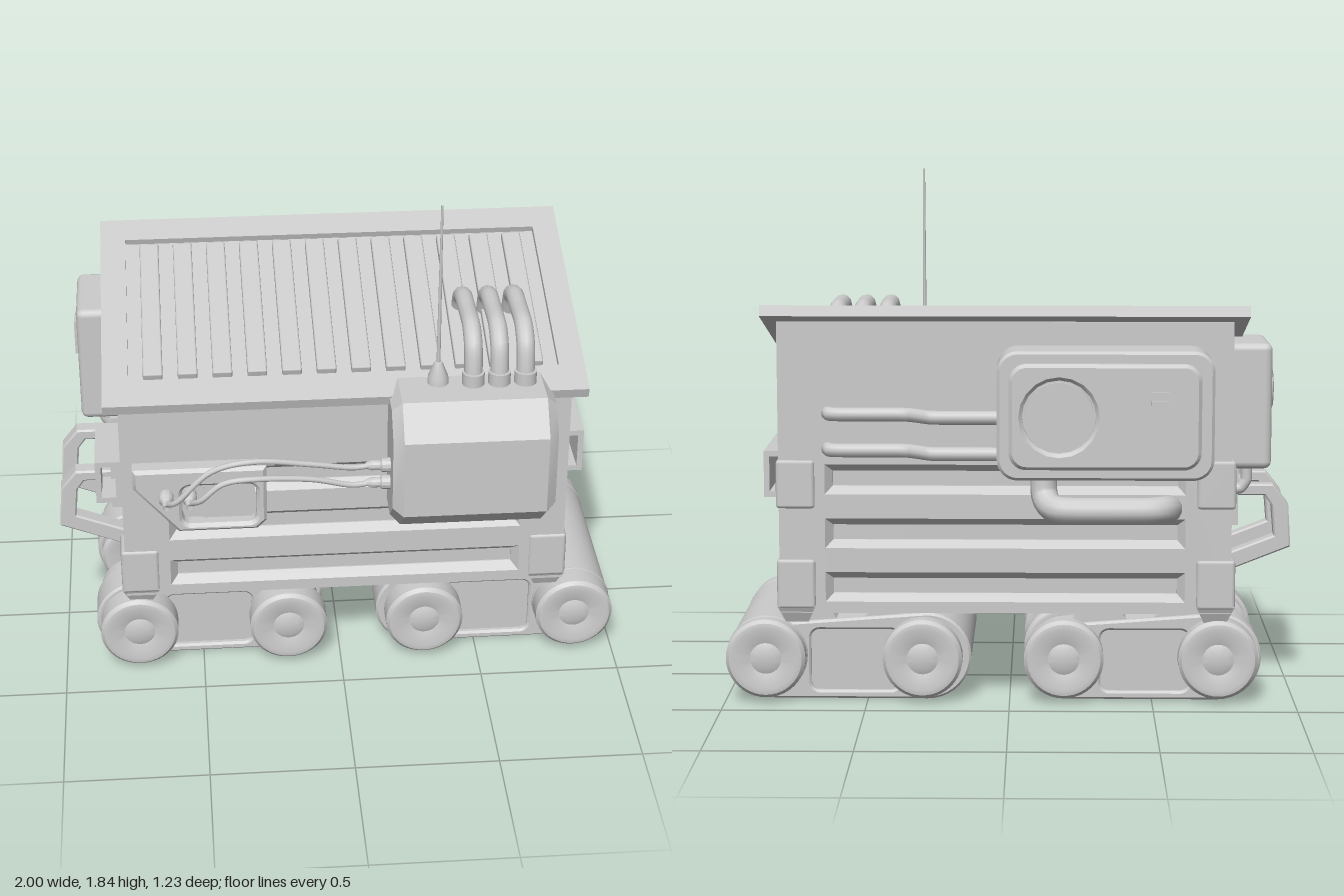
import * as THREE from 'three';
import { toCreasedNormals } from 'three/addons/utils/BufferGeometryUtils.js';
import { RoundedBoxGeometry } from 'three/addons/geometries/RoundedBoxGeometry.js';

const mat = new THREE.MeshStandardMaterial({ color: 0xcccccc, side: THREE.DoubleSide });
const V = (p) => new THREE.Vector3(...p);

function add(parent, name, geo, x = 0, y = 0, z = 0) {
  const m = new THREE.Mesh(geo, mat);
  m.name = name;
  m.position.set(x, y, z);
  parent.add(m);
  return m;
}
const crease = (g, a = 0.5) => toCreasedNormals(g, a);
const shapeOf = (pts) => new THREE.Shape(pts.map((p) => new THREE.Vector2(...p)));
const rect = (x0, x1, y0, y1) => [[x0, y0], [x1, y0], [x1, y1], [x0, y1]];

function roundRect(x0, x1, y0, y1, r) {
  const s = new THREE.Shape();
  s.absarc(x1 - r, y0 + r, r, -Math.PI / 2, 0);
  s.absarc(x1 - r, y1 - r, r, 0, Math.PI / 2);
  s.absarc(x0 + r, y1 - r, r, Math.PI / 2, Math.PI);
  s.absarc(x0 + r, y0 + r, r, Math.PI, Math.PI * 1.5);
  return s;
}
// Extrusion from z0 to z1, bevel staying inside the outline
function slab(shape, z0, z1, bevel = 0, holes = []) {
  shape.holes = holes;
  const g = new THREE.ExtrudeGeometry(shape, {
    depth: z1 - z0 - 2 * bevel, bevelEnabled: bevel > 0, bevelThickness: bevel,
    bevelSize: bevel, bevelOffset: -bevel, bevelSegments: 1, curveSegments: 10,
  });
  return crease(g.translate(0, 0, z0 + bevel));
}
// Profile of [z, y] points swept along x
const sweepX = (pts, x0, x1, bevel = 0, holes = []) =>
  slab(shapeOf(pts.map(([z, y]) => [-z, y])), x0, x1, bevel, holes).rotateY(Math.PI / 2);

function pipe(parent, name, pts, r, tension = 0.15) {
  const c = new THREE.CatmullRomCurve3(pts.map(V), false, 'catmullrom', tension);
  return add(parent, name, new THREE.TubeGeometry(c, 40, r, 12));
}
function lathe(pts, seg = 32) {
  return crease(new THREE.LatheGeometry(pts.map((p) => new THREE.Vector2(...p)), seg));
}
// Wheel or roller along z with a dished hub at each end
function wheel(parent, name, x, z0, z1, r = 0.14) {
  const h = (z1 - z0) / 2;
  const end = [[0, 0.008], [0.035, 0.008], [0.055, 0.016], [r - 0.03, 0], [r - 0.012, 0.003], [r, 0.016]];
  const pts = [...end.map(([a, b]) => [a, -h + b]), ...end.reverse().map(([a, b]) => [a, h - b])];
  add(parent, name, lathe(pts, 40).rotateX(Math.PI / 2), x, 0.163, (z0 + z1) / 2);
}

// Wall plate with three sloped grooves; outer edges stay square
function groovedPlate(top, sign) {
  const s = shapeOf(rect(-0.77, 0.8, 0.33, top));
  s.holes = [0.37, 0.56, 0.75].map((y) => shapeOf(rect(-0.61, 0.64, y, y + 0.105)));
  const g = new THREE.ExtrudeGeometry(s, { depth: 0.01, bevelThickness: 0.03, bevelSize: 0.026, bevelSegments: 1 });
  const p = g.attributes.position;
  for (let i = 0; i < p.count; i++) {
    p.setX(i, THREE.MathUtils.clamp(p.getX(i), -0.77, 0.8));
    p.setY(i, THREE.MathUtils.clamp(p.getY(i), 0.33, top));
  }
  return crease(g.translate(0, 0, sign > 0 ? 0.335 : -0.375), 0.3);
}

// Track pod: hull with window, inner plate, bracket
function pod(parent, x0, x1, z0, z1) {
  const s = new THREE.Shape();
  s.absarc(x0, 0.16, 0.155, Math.PI * 0.45, Math.PI * 1.5);
  s.lineTo(x1, 0.006);
  s.lineTo(x1 + 0.06, 0.03);
  s.absarc(x1, 0.16, 0.115, -0.6, Math.PI / 2);
  const hull = slab(s, z0, z1, 0.008, [roundRect(x0 + 0.1, x1 - 0.13, 0.035, 0.255, 0.03)]);
  add(parent, 'trackHull', hull);
  add(parent, 'trackPlate', slab(shapeOf(rect(x0 + 0.08, x1 - 0.1, 0.03, 0.265)), z0 + 0.02, z1 - 0.02));
  const m = (x0 + x1) / 2;
  const bracket = shapeOf([[x0 + 0.05, 0.27], [x1 - 0.02, 0.26], [x1 - 0.1, 0.35], [x0 + 0.14, 0.35]]);
  const gap = shapeOf([[m - 0.1, 0.335], [m - 0.03, 0.285], [m + 0.05, 0.29], [m + 0.08, 0.335]]);
  add(parent, 'trackBracket', slab(bracket, z0 + 0.02, z1 - 0.02, 0, [gap]));
}

function corner(parent, x, z, y0, y1, foot) {
  add(parent, 'cornerGuard', new RoundedBoxGeometry(0.135, y1 - y0, 0.135, 1, 0.012), x, (y0 + y1) / 2, z);
  if (!foot) return;
  const g = new THREE.BoxGeometry(0.133, 0.06, 0.133).toNonIndexed();
  const p = g.attributes.position;
  for (let i = 0; i < p.count; i++) if (p.getY(i) < 0) p.setXYZ(i, p.getX(i) * 0.6, -0.03, p.getZ(i) * 0.6);
  g.computeVertexNormals();
  add(parent, 'cornerFoot', g, x, y0 - 0.02, z);
}

export function createModel() {
  const root = new THREE.Group();
  const group = (name) => { const g = new THREE.Group(); g.name = name; root.add(g); return g; };

  // Body
  const body = group('body');
  add(body, 'core', sweepX([[0.34, 0.33], [0.34, 1.13], [-0.37, 1.345], [-0.37, 0.33]].reverse(), -0.77, 0.8));
  add(body, 'frontWall', groovedPlate(1.125, 1));
  add(body, 'backWall', groovedPlate(1.35, -1));
  for (const x of [-0.717, 0.742]) {
    corner(body, x, 0.315, 0.345, 0.52, true);
    corner(body, x, -0.348, 0.345, 0.52, true);
    corner(body, x, -0.348, 0.7, 0.87, false);
  }

  // Sloped roof with slats in a recess
  const roof = group('roof');
  roof.position.set(0.015, 1.279, -0.018);
  roof.rotation.x = 0.291;
  const W = 0.835, L = 0.467;
  const hole = shapeOf(rect(-0.745, 0.745, -0.36, 0.345));
  add(roof, 'roofFrame', slab(shapeOf(rect(-W, W, -L, L)), 0, 0.038, 0, [hole]).rotateX(Math.PI / 2));
  add(roof, 'roofBase', new THREE.BoxGeometry(1.55, 0.015, 0.76), 0, -0.03, 0);
  for (let i = 0; i < 12; i++)
    add(roof, 'slat', new RoundedBoxGeometry(0.068, 0.03, 0.66, 1, 0.006), -0.66 + i * 0.12, -0.012, -0.005);

  // Running gear: two narrow pods at one end, one wide pod at the other
  const gear = group('runningGear');
  for (const [a, b, c, d] of [[0.38, 0.28, 0.14, 0.07], [-0.12, -0.19, -0.34, -0.41]]) {
    pod(gear, -0.73, -0.19, c, b);
    for (const x of [-0.73, -0.19]) {
      wheel(gear, 'outerWheel', x, b - 0.01, a);
      wheel(gear, 'innerWheel', x, d, c + 0.01);
    }
  }
  pod(gear, 0.29, 0.83, -0.34, 0.28);
  wheel(gear, 'frontWheel', 0.305, 0.27, 0.38);
  wheel(gear, 'backWheel', 0.305, -0.41, -0.33);
  wheel(gear, 'longRoller', 0.855, -0.41, 0.38);
  for (const z of [-0.34, 0.28])
    add(gear, 'rollerBand', new THREE.TorusGeometry(0.137, 0.006, 6, 40), 0.855, 0.163, z);

  // Chamfered front box with three pipes and an antenna
  const box = group('frontBox');
  add(box, 'housing', sweepX([[0.34, 0.67], [0.5, 0.67], [0.61, 0.77], [0.61, 1.06], [0.52, 1.17], [0.34, 1.17]], 0.16, 0.725, 0.035));
  for (const x of [0.45, 0.54, 0.63]) {
    pipe(box, 'exhaustPipe', [[x, 1.14, 0.4], [x, 1.22, 0.395], [x, 1.3, 0.375], [x, 1.345, 0.31], [x, 1.347, 0.2],
      [x, 1.345, 0.1], [x, 1.315, 0.035], [x, 1.24, 0.005]], 0.032, 0.4);
    add(box, 'pipeCollar', new THREE.CylinderGeometry(0.039, 0.039, 0.05, 16), x, 1.19, 0.4);
  }
  add(box, 'antennaBase', lathe([[0.037, 0], [0.035, 0.03], [0.014, 0.085], [0, 0.09]], 16), 0.33, 1.165, 0.385);
  add(box, 'antennaRod', new THREE.CylinderGeometry(0.004, 0.007, 0.61, 8), 0.33, 1.535, 0.387);

  // Front socket panel and cables
  const panel = group('socketPanel');
  const outline = [[-0.73, 0.81], [-0.575, 0.63], [-0.3, 0.63], [-0.265, 0.665], [-0.265, 0.885], [-0.73, 0.885]];
  add(panel, 'panel', slab(shapeOf(outline), 0.36, 0.435, 0.012, [roundRect(-0.56, -0.3, 0.66, 0.815, 0.03)]));
  add(panel, 'panelWindow', new THREE.BoxGeometry(0.25, 0.15, 0.02), -0.43, 0.737, 0.375);
  add(panel, 'windowBlock', new THREE.BoxGeometry(0.17, 0.14, 0.03), -0.4, 0.737, 0.385);
  [[-0.615, 0.03], [-0.535, 0]].forEach(([x, lift], i) => {
    const y = 0.905 - i * 0.07;
    add(panel, 'socket', lathe([[0.026, 0], [0.026, 0.04], [0.015, 0.06], [0.012, 0.09]], 12).rotateX(Math.PI / 2), x, 0.785, 0.425);
    pipe(panel, 'cable', [[x, 0.785, 0.49], [x + 0.04, 0.83, 0.545], [-0.46 + i * 0.04, 0.915 + lift - i * 0.02, 0.55],
      [-0.31, 0.95 + lift - i * 0.04, 0.55], [-0.12, 0.91 + lift - i * 0.03, 0.515], [0.02, y, 0.49], [0.1, y, 0.48]], 0.01, 0.5);
    add(panel, 'plug', lathe([[0.01, 0], [0.018, 0.02], [0.018, 0.05], [0.025, 0.055], [0.025, 0.1]], 12).rotateZ(-Math.PI / 2), 0.075, y, 0.48);
  });

  // Back cooling unit with fan ring, vents and pipes
  const cooler = group('coolingUnit');
  add(cooler, 'coolerCase', slab(roundRect(-0.695, 0.04, 0.83, 1.27, 0.07), -0.585, -0.39, 0.01));
  const fan = new THREE.Path().absarc(-0.17, 1.05, 0.125, 0, Math.PI * 2);
  add(cooler, 'coolerCover', slab(roundRect(-0.65, 0, 0.87, 1.23, 0.06), -0.615, -0.575, 0.012, [fan]));
  add(cooler, 'fanDisc', new THREE.CylinderGeometry(0.118, 0.118, 0.02, 32).rotateX(Math.PI / 2), -0.17, 1.05, -0.598);
  for (const y of [1.1, 1.13]) add(cooler, 'vent', new THREE.BoxGeometry(0.06, 0.012, 0.012), -0.51, y, -0.615);
  for (const y of [1.035, 0.91])
    pipe(cooler, 'thinPipe', [[0, y, -0.515], [0.24, y, -0.515], [0.27, y, -0.51], [0.34, y, -0.45], [0.38, y, -0.44],
      [0.58, y, -0.44], [0.62, y, -0.43], [0.63, y, -0.38]], 0.024);
  pipe(cooler, 'drainPipe', [[-0.12, 0.86, -0.46], [-0.12, 0.77, -0.47], [-0.14, 0.73, -0.51], [-0.2, 0.72, -0.54],
    [-0.47, 0.72, -0.54], [-0.53, 0.72, -0.51], [-0.55, 0.71, -0.45], [-0.55, 0.7, -0.36]], 0.046, 0.4);

  // Open rectangular sleeves on both end walls
  const sleeve = (x, z0, z1) => {
    const s = shapeOf(rect(x - 0.045, x + 0.045, 0.7, 0.865));
    add(root, 'sleeve', slab(s, z0, z1, 0, [shapeOf(rect(x - 0.025, x + 0.025, 0.72, 0.845))]));
  };
  sleeve(0.832, -0.18, 0.24);
  sleeve(-0.815, 0.06, 0.33);

  // Paired loop handles on the end wall
  for (const z of [-0.125, 0.16]) {
    const loop = [[-0.76, 0.425], [-0.76, 0.49], [-0.94, 0.56], [-0.93, 0.67], [-0.905, 0.705], [-0.76, 0.705],
      [-0.76, 0.745], [-0.935, 0.745], [-0.99, 0.675], [-1.0, 0.52]];
    add(root, 'loopHandle', slab(shapeOf(loop), z - 0.03, z + 0.03, 0.006));
    add(root, 'handleMount', new THREE.BoxGeometry(0.05, 0.2, 0.09), -0.785, 0.7, z);
  }

  // End wall control box
  const control = group('controlBox');
  add(control, 'controlCase', new RoundedBoxGeometry(0.16, 0.44, 0.31, 2, 0.025), -0.83, 1.05, -0.185);
  add(control, 'dial', new THREE.TorusGeometry(0.065, 0.012, 8, 24).rotateY(Math.PI / 2), -0.908, 1.1, -0.21);
  add(control, 'latch', new THREE.BoxGeometry(0.02, 0.13, 0.05), -0.91, 1.145, -0.1);
  for (const z of [-0.25, -0.14])
    pipe(control, 'controlPipe', [[-0.83, 0.85, z], [-0.83, 0.78, z], [-0.81, 0.75, z], [-0.75, 0.74, z]], 0.02);

  return root;
}
